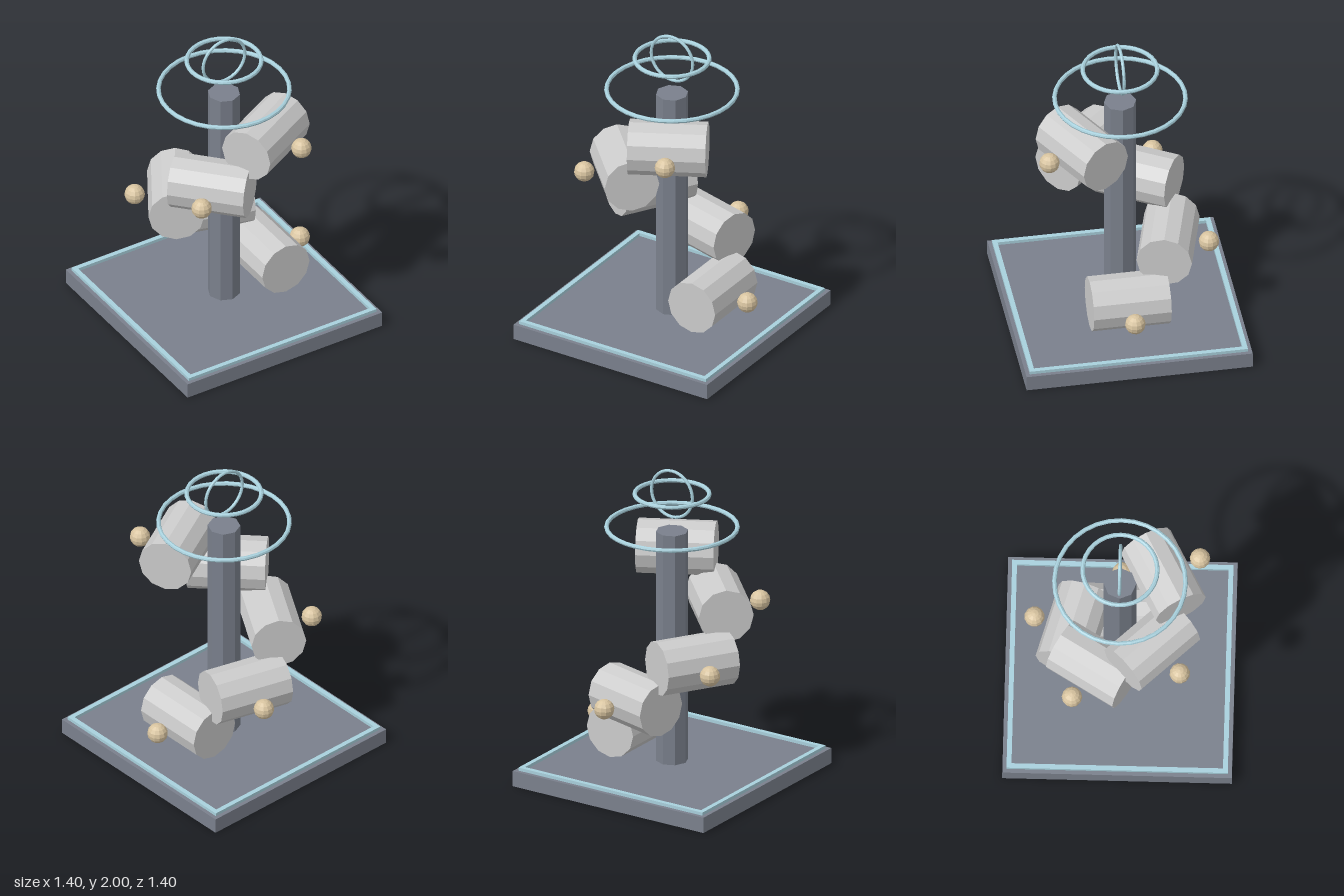
import * as THREE from 'three';

const material = (color) => new THREE.MeshStandardMaterial({ color, flatShading: true });

export function createModel() {
  const model = new THREE.Group();
  const slate = material(0x7a808c);
  const ice = material(0xa8d0dc);
  const grey = material(0xcccccc);
  const sand = material(0xd8c4a0);

  const add = (name, geometry, mat, x = 0, y = 0, z = 0, parent = model) => {
    const mesh = new THREE.Mesh(geometry, mat);
    mesh.name = name;
    mesh.position.set(x, y, z);
    parent.add(mesh);
    return mesh;
  };

  // Square base and octagonal column
  add('base', new THREE.BoxGeometry(1.4, 0.1, 1.4), slate, 0, 0.05, 0);
  add('column', new THREE.CylinderGeometry(0.1, 0.1, 1.5, 8), slate, 0, 0.85, 0);

  // Raised square border on the base
  const square = (path, h) => path.moveTo(-h, -h).lineTo(h, -h).lineTo(h, h).lineTo(-h, h).closePath();
  const border = square(new THREE.Shape(), 0.675);
  border.holes.push(square(new THREE.Path(), 0.645));
  const borderGeometry = new THREE.ExtrudeGeometry(border, { depth: 0.02, bevelEnabled: false });
  add('baseBorder', borderGeometry.rotateX(-Math.PI / 2), ice, 0, 0.1, 0);

  // Drums spiralling up the column, each with a ball on its outer side
  const drumGeometry = new THREE.CylinderGeometry(0.17, 0.17, 0.48, 12).rotateX(Math.PI / 2);
  const ballGeometry = new THREE.SphereGeometry(0.063, 12, 8);
  for (let i = 0; i < 5; i++) {
    const step = new THREE.Group();
    step.name = `drumStep${i + 1}`;
    step.position.y = 0.3 + i * 0.27;
    step.rotation.y = i * 1.3;
    add('drum', drumGeometry, grey, 0.295, 0, 0, step);
    add('ball', ballGeometry, sand, 0.545, 0, 0, step);
    model.add(step);
  }

  // Floating rings above the column
  const ring = (name, radius, tube, y, flat) => {
    const mesh = add(name, new THREE.TorusGeometry(radius, tube, 8, 32), ice, 0, y, 0);
    if (flat) mesh.rotation.x = Math.PI / 2;
  };
  ring('lowerRing', 0.4, 0.014, 1.625, true);
  ring('upperRing', 0.228, 0.014, 1.84, true);
  ring('uprightRing', 0.15, 0.01, 1.84, false);

  return model;
}
